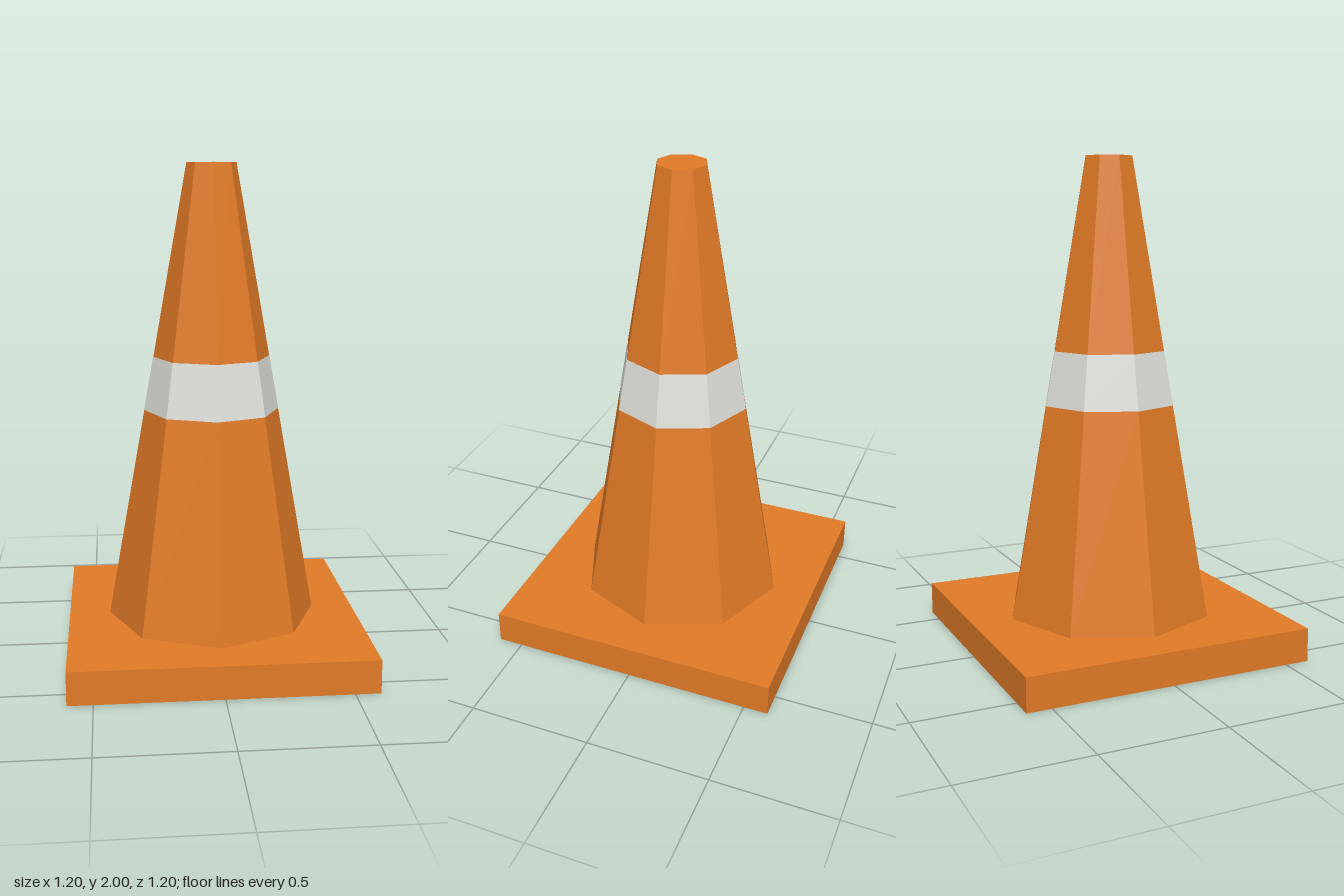
import * as THREE from 'three';

const orange = new THREE.MeshStandardMaterial({ name: 'orange', color: 0xe07a26, flatShading: true });
const white = new THREE.MeshStandardMaterial({ name: 'reflective white', color: 0xe0e1db, flatShading: true });

const BASE_TOP = 0.135, TOP = 2, BOTTOM_RADIUS = 0.432, TOP_RADIUS = 0.1;

// Radius of the tapered cone at a given height
const radiusAt = (y) =>
  THREE.MathUtils.mapLinear(y, BASE_TOP, TOP, BOTTOM_RADIUS, TOP_RADIUS);

// Eight-sided slice of the cone between two heights
function coneSection(name, y0, y1, material, open, swell = 0) {
  const geometry = new THREE.CylinderGeometry(
    radiusAt(y1) + swell, radiusAt(y0) + swell, y1 - y0, 8, 1, open);
  const mesh = new THREE.Mesh(geometry, material);
  mesh.name = name;
  mesh.position.y = (y0 + y1) / 2;
  return mesh;
}

export function createModel() {
  const model = new THREE.Group();
  model.name = 'trafficCone';

  // Square foot plate
  const base = new THREE.Mesh(new THREE.BoxGeometry(1.2, BASE_TOP, 1.2), orange);
  base.name = 'base';
  base.position.y = BASE_TOP / 2;
  model.add(base);

  // Tapered body in two orange sections with the reflective band between
  model.add(
    coneSection('lowerCone', BASE_TOP, 1.005, orange, true),
    coneSection('reflectiveBand', 1.005, 1.225, white, false, 0.001),
    coneSection('upperCone', 1.225, TOP, orange, false),
  );
  return model;
}
